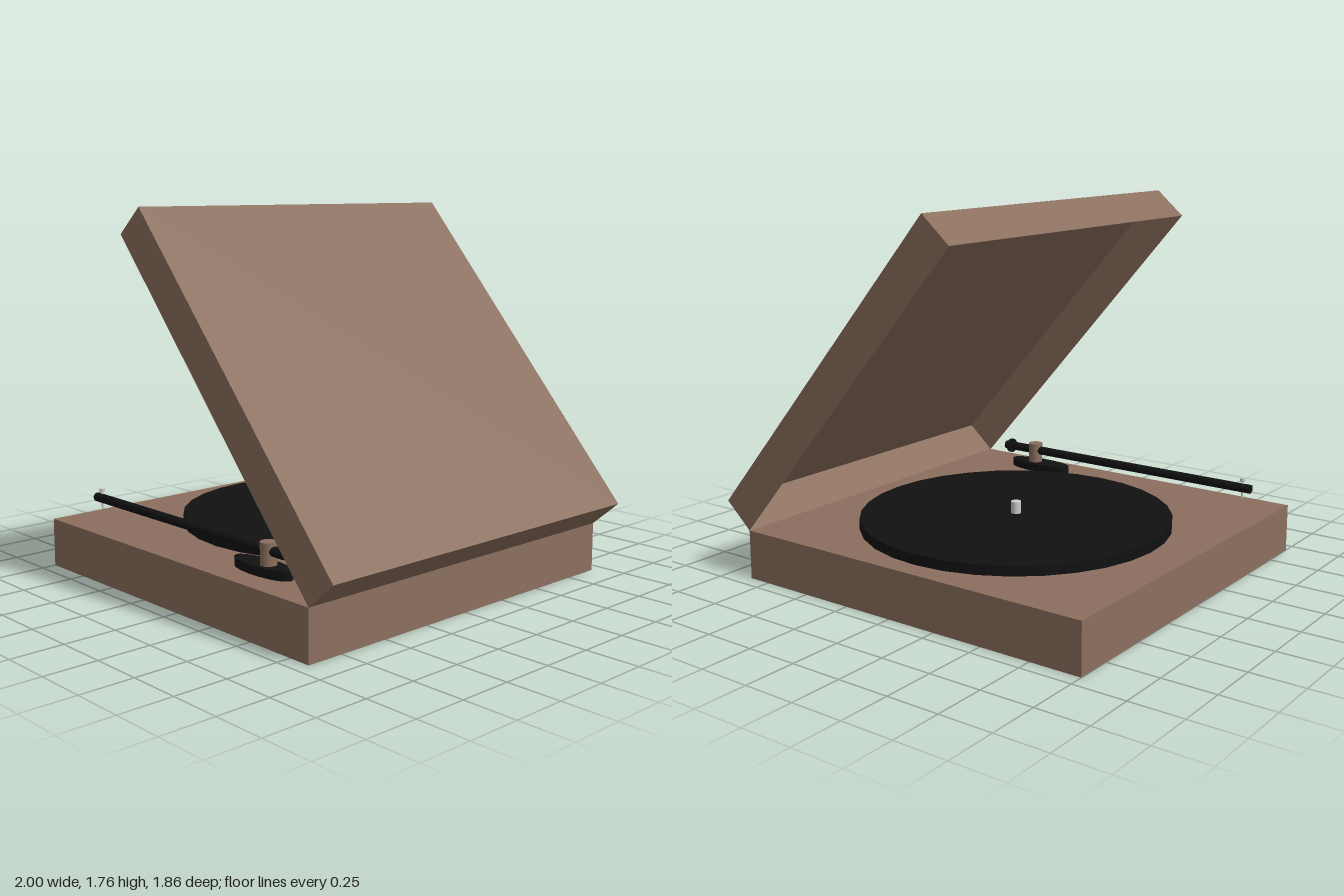
import * as THREE from 'three';

const paint = (color, side = THREE.FrontSide) => {
  const m = new THREE.MeshStandardMaterial({ side });
  m.color.set(color);
  return m;
};

export function createModel() {
  const model = new THREE.Group();
  const brown = paint(0x8b6f5e);
  const black = paint(0x111111);
  const grey = paint(0xcccccc);

  const add = (name, geometry, material, x, y, z, parent = model) => {
    const mesh = new THREE.Mesh(geometry, material);
    mesh.name = name;
    mesh.position.set(x, y, z);
    parent.add(mesh);
    return mesh;
  };
  // Upright cylinder standing between two heights
  const post = (name, r, y0, y1, x, z, material, sides = 16) =>
    add(name, new THREE.CylinderGeometry(r, r, y1 - y0, sides), material, x, (y0 + y1) / 2, z);
  // Cylinder lying along x between two ends
  const rod = (name, r, x0, x1, y, z, material) =>
    add(name, new THREE.CylinderGeometry(r, r, x1 - x0, 16).rotateZ(Math.PI / 2),
      material, (x0 + x1) / 2, y, z);

  // Case
  const top = 0.235, depth = 1.86, hingeX = 0.86;
  add('base', new THREE.BoxGeometry(1.86, top, depth), brown, -0.07, top / 2, 0);

  // Lid: hollow thin shell, open underneath, swung up about the hinge
  const lid = new THREE.Group();
  lid.name = 'lid';
  lid.position.set(hingeX, top, 0);
  lid.rotation.z = -Math.atan2(1.405, 1.22);
  const shell = new THREE.BoxGeometry(1.86, 0.185, depth);
  const faces = Array.from(shell.index.array);
  faces.splice(18, 6); // remove the bottom face
  shell.setIndex(faces);
  shell.clearGroups();
  add('lidShell', shell, paint(0x8b6f5e, THREE.DoubleSide), -0.93, 0.0925, 0, lid);
  model.add(lid);

  // Platter and spindle
  post('platter', 0.742, top, 0.283, -0.07, -0.09, black, 32);
  post('spindle', 0.024, 0.283, 0.34, -0.07, -0.09, grey);

  // Tonearm with its oval foot, pivot and counterweight
  const armZ = 0.753, armY = 0.338;
  const foot = post('tonearmFoot', 1, top, 0.275, 0.38, armZ, black, 32);
  foot.scale.set(0.18, 1, 0.06);
  post('tonearmPivot', 0.037, 0.275, 0.376, 0.415, armZ, brown);
  rod('tonearm', 0.022, -0.88, 0.61, armY, armZ, black);
  rod('counterweight', 0.037, 0.567, 0.585, armY, armZ, black);

  // Needle through the arm tip, with a small cap
  post('needle', 0.005, 0.285, 0.375, -0.835, armZ, grey, 8);
  post('needleCap', 0.014, 0.371, 0.388, -0.835, armZ, grey, 12);

  return model;
}
